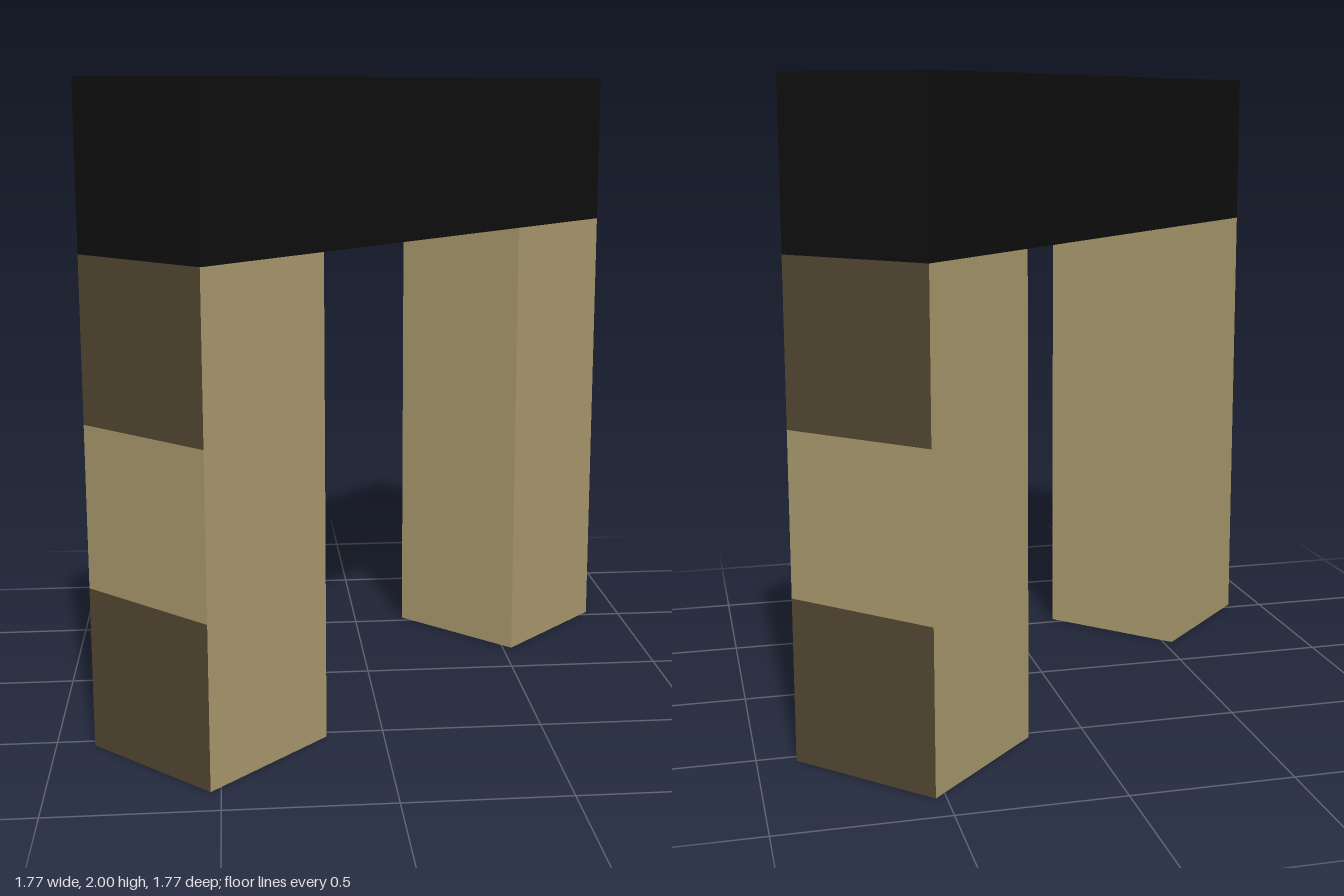
import * as THREE from 'three';

const mat = (name, color) => {
  const m = new THREE.MeshStandardMaterial({ color });
  m.name = name;
  return m;
};

export function createModel() {
  const tan = mat('tan', 0xae9d70);
  const brown = mat('dark brown', 0x564a33);
  const black = mat('black', 0x0f0f0f);

  const model = new THREE.Group();
  model.name = 'arch';
  const U = 0.5; // block size

  // Legs: three stacked blocks each, with banded outer ends
  for (const side of [-1, 1]) {
    const leg = new THREE.Group();
    leg.name = side < 0 ? 'rightLeg' : 'leftLeg';
    for (let i = 0; i < 3; i++) {
      const end = i === 1 ? tan : brown;
      const sole = side < 0 ? brown : tan;
      // face order: +x, -x, +y, -y, +z, -z
      const faces = [side > 0 ? end : tan, side < 0 ? end : tan, tan, sole, tan, tan];
      const block = new THREE.Mesh(new THREE.BoxGeometry(U, U, U), faces);
      block.name = 'legBlock';
      block.position.set(side * 1.5 * U, (i + 0.5) * U, 0);
      leg.add(block);
    }
    model.add(leg);
  }

  // Lintel across the top, brown underneath
  const lintel = new THREE.Mesh(
    new THREE.BoxGeometry(4 * U, U, U),
    [black, black, black, brown, black, black]
  );
  lintel.name = 'lintel';
  lintel.position.y = 3.5 * U;
  model.add(lintel);

  // The whole arch stands diagonally
  model.rotation.y = Math.PI / 4;
  const root = new THREE.Group();
  root.name = 'model';
  root.add(model);
  return root;
}
